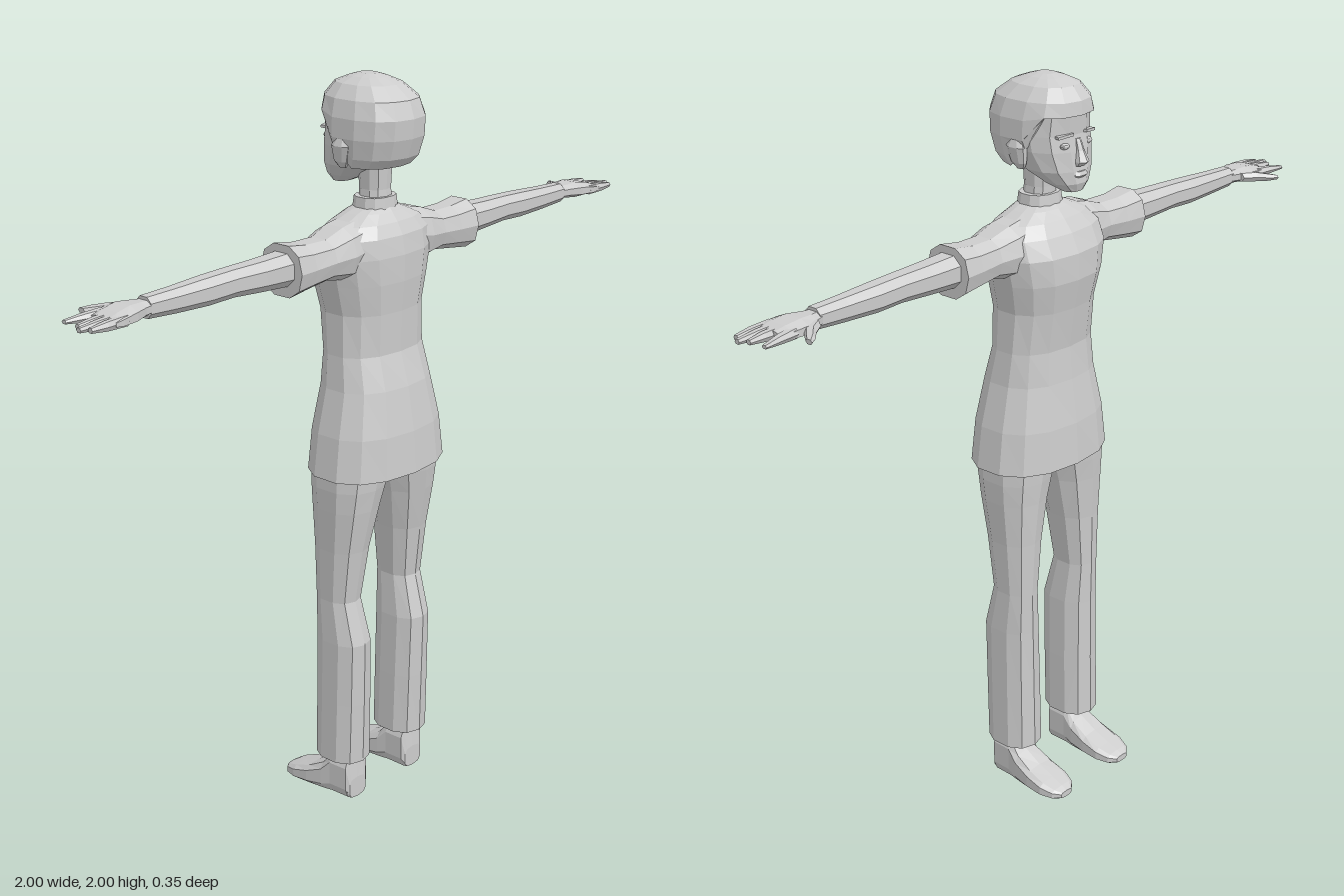
import * as THREE from 'three';

const grey = new THREE.MeshStandardMaterial({ color: 0xcccccc, flatShading: true });
grey.name = 'plain grey';

// Rounded cross-section across an axis. Limits: x/z for axis y, y/z for axis x, x/y for axis z.
function ring(axis, t, u0, u1, v0, v1, n = 12, power = 0.85) {
  const soft = (c) => Math.sign(c) * Math.pow(Math.abs(c), power);
  return Array.from({ length: n }, (_, i) => {
    const a = ((i + 0.5) / n) * Math.PI * 2;
    const k = 1 / Math.pow(Math.cos(Math.PI / n), power); // keeps the facets out at the limits
    const u = (u0 + u1) / 2 + ((u1 - u0) / 2) * soft(Math.cos(a)) * k;
    const v = (v0 + v1) / 2 + ((v1 - v0) / 2) * soft(Math.sin(a)) * k;
    return axis === 'y' ? [u, t, v] : axis === 'x' ? [t, u, v] : [u, v, t];
  });
}

// Closed skin over a list of rings, turned outwards whatever the ring direction.
function loft(name, rings, side = 1) {
  const n = rings[0].length, pos = [], index = [];
  rings.forEach((r) => r.forEach(([x, y, z]) => pos.push(x * side, y, z)));
  const cap = (r) => {
    for (let c = 0; c < 3; c++) pos.push((c ? 1 : side) * r.reduce((s, p) => s + p[c], 0) / n);
    return pos.length / 3 - 1;
  };
  const first = cap(rings[0]), last = cap(rings[rings.length - 1]);
  const top = (rings.length - 1) * n;
  for (let j = 0; j < n; j++) {
    const k = (j + 1) % n;
    for (let i = 0; i < top; i += n) index.push(i + j, i + n + j, i + n + k, i + j, i + n + k, i + k);
    index.push(first, j, k, last, top + k, top + j);
  }
  const P = (i) => new THREE.Vector3().fromArray(pos, i * 3).sub(new THREE.Vector3().fromArray(pos, first * 3));
  let volume = 0;
  for (let i = 0; i < index.length; i += 3) volume += P(index[i]).dot(P(index[i + 1]).cross(P(index[i + 2])));
  if (volume < 0) index.reverse();
  const g = new THREE.BufferGeometry();
  g.setAttribute('position', new THREE.Float32BufferAttribute(pos, 3));
  g.setIndex(index);
  const flat = g.toNonIndexed();
  flat.computeVertexNormals();
  const mesh = new THREE.Mesh(flat, grey);
  mesh.name = name;
  return mesh;
}

const stack = (name, axis, rows, side, n, power) =>
  loft(name, rows.map((r) => ring(axis, ...r, n, power)), side);

function createHead() {
  const head = new THREE.Group();
  head.name = 'head';
  head.add(stack('neck', 'y', [
    [1.64, -0.045, 0.045, -0.005, 0.075], [1.71, -0.037, 0.037, -0.005, 0.07], [1.8, -0.04, 0.04, -0.01, 0.075],
  ], 1, 10));
  head.add(stack('face', 'y', [
    [1.715, -0.028, 0.028, -0.1, -0.055], [1.737, -0.055, 0.055, -0.108, 0.0],
    [1.77, -0.083, 0.083, -0.105, 0.06], [1.82, -0.098, 0.098, -0.1, 0.11],
    [1.86, -0.1, 0.1, -0.094, 0.12], [1.92, -0.093, 0.093, -0.098, 0.12], [1.96, -0.07, 0.07, -0.07, 0.1],
  ], 1, 12));

  // Short hair: the low rings are lifted to the hairline around the face
  const hairline = (z) => (z < -0.045 ? 1.91 : z < -0.01 ? 1.83 : 1.77);
  head.add(loft('hair', [
    [1.775, -0.1, 0.1, -0.09, 0.115], [1.8, -0.108, 0.108, -0.1, 0.14], [1.85, -0.115, 0.115, -0.105, 0.156],
    [1.9, -0.113, 0.113, -0.107, 0.16], [1.945, -0.1, 0.1, -0.103, 0.145],
    [1.978, -0.072, 0.072, -0.077, 0.1], [1.993, -0.042, 0.042, -0.04, 0.06], [2.0, -0.02, 0.02, -0.015, 0.035],
  ].map((r) => ring('y', ...r, 14).map(([x, y, z]) => [x, Math.max(y, hairline(z)), z]))));

  // Nose and lips
  head.add(stack('nose', 'y', [
    [1.782, -0.017, 0.017, -0.112, -0.085], [1.793, -0.018, 0.018, -0.125, -0.085],
    [1.82, -0.011, 0.011, -0.112, -0.085], [1.85, -0.009, 0.009, -0.1, -0.085],
  ], 1, 6));
  head.add(stack('lips', 'y', [
    [1.752, -0.018, 0.018, -0.108, -0.09], [1.758, -0.024, 0.024, -0.114, -0.09], [1.768, -0.018, 0.018, -0.11, -0.09],
  ], 1, 8));

  for (const s of [-1, 1]) {
    const eye = new THREE.Mesh(new THREE.SphereGeometry(0.017, 8, 6), grey);
    eye.name = 'eye';
    eye.scale.set(1, 0.5, 0.6);
    eye.position.set(s * 0.042, 1.836, -0.089);
    const brow = new THREE.Mesh(new THREE.BoxGeometry(0.046, 0.007, 0.015), grey);
    brow.name = 'eyebrow';
    brow.position.set(s * 0.045, 1.862, -0.09);
    brow.rotation.set(0, s * -0.25, s * -0.1);
    head.add(eye, brow);
    head.add(stack('ear', 'y', [
      [1.773, 0.09, 0.102, 0.0, 0.02], [1.79, 0.09, 0.114, -0.01, 0.032],
      [1.83, 0.09, 0.122, -0.014, 0.044], [1.85, 0.09, 0.114, -0.002, 0.034],
    ], s, 8));
  }
  return head;
}

function createArm(s) {
  const arm = new THREE.Group();
  arm.name = s > 0 ? 'leftArm' : 'rightArm';
  const add = (name, rows, n) => arm.add(stack(name, 'x', rows, s, n));
  add('sleeve', [
    [0.07, 1.51, 1.65, -0.04, 0.1], [0.15, 1.5, 1.636, -0.045, 0.105], [0.21, 1.51, 1.615, -0.03, 0.095],
    [0.28, 1.5, 1.615, -0.032, 0.092], [0.342, 1.492, 1.624, -0.038, 0.098],
  ], 10);
  add('forearm', [
    [0.32, 1.52, 1.605, -0.015, 0.075], [0.43, 1.525, 1.6, -0.012, 0.07], [0.52, 1.53, 1.598, -0.01, 0.064],
    [0.6, 1.527, 1.595, -0.01, 0.062], [0.7, 1.53, 1.59, -0.003, 0.056], [0.79, 1.535, 1.587, 0.0, 0.052],
  ], 8);
  // Palm with separate fingers and a forward-pointing thumb
  add('palm', [
    [0.77, 1.543, 1.578, 0.005, 0.047], [0.81, 1.543, 1.58, -0.012, 0.058],
    [0.85, 1.54, 1.583, -0.028, 0.075], [0.895, 1.542, 1.576, -0.024, 0.082], [0.92, 1.547, 1.568, -0.015, 0.08],
  ], 8);
  add('thumb', [
    [0.81, 1.548, 1.572, -0.022, 0.012], [0.845, 1.546, 1.572, -0.045, -0.008],
    [0.87, 1.547, 1.567, -0.07, -0.035], [0.892, 1.55, 1.562, -0.084, -0.064],
  ], 6);
  add('indexFinger', [
    [0.88, 1.547, 1.572, -0.026, 0.005], [0.93, 1.549, 1.569, -0.03, -0.006], [0.982, 1.553, 1.562, -0.034, -0.02],
  ], 6);
  for (let i = 0; i < 3; i++) {
    const z = 0.012 + i * 0.022, tip = [0.985, 1.0, 0.985][i];
    add('finger', [
      [0.88, 1.546, 1.572, z, z + 0.023], [0.94, 1.547, 1.569, z + 0.001, z + 0.023], [tip, 1.551, 1.563, z + 0.004, z + 0.018],
    ], 6);
  }
  return arm;
}

function createLeg(s) {
  const leg = new THREE.Group();
  leg.name = s > 0 ? 'leftLeg' : 'rightLeg';
  leg.add(stack('trouserLeg', 'y', [
    [0.12, 0.06, 0.18, -0.05, 0.095], [0.3, 0.062, 0.178, -0.047, 0.1], [0.48, 0.066, 0.176, -0.045, 0.104],
    [0.6, 0.075, 0.172, -0.046, 0.072], [0.75, 0.058, 0.178, -0.05, 0.092],
    [0.87, 0.035, 0.186, -0.057, 0.115], [0.93, 0.018, 0.189, -0.062, 0.125], [1.0, 0.0, 0.188, -0.066, 0.132],
  ], s, 10));
  leg.add(stack('foot', 'z', [
    [0.076, 0.085, 0.15, 0.0, 0.06], [0.068, 0.075, 0.16, 0.0, 0.13], [0.01, 0.074, 0.163, 0.0, 0.13],
    [-0.02, 0.07, 0.168, 0.0, 0.09], [-0.07, 0.066, 0.174, 0.0, 0.062],
    [-0.12, 0.066, 0.175, 0.0, 0.043], [-0.155, 0.078, 0.163, 0.0, 0.03], [-0.172, 0.1, 0.142, 0.002, 0.02],
  ], s, 10, 0.6));
  return leg;
}

export function createModel() {
  const model = new THREE.Group();
  model.name = 'figure';
  // Long loose shirt
  model.add(stack('shirt', 'y', [
    [0.965, -0.2, 0.2, -0.1, 0.175], [1.08, -0.185, 0.185, -0.094, 0.168], [1.2, -0.157, 0.157, -0.077, 0.148],
    [1.29, -0.146, 0.146, -0.07, 0.122], [1.4, -0.142, 0.142, -0.085, 0.125], [1.48, -0.16, 0.16, -0.1, 0.132],
    [1.55, -0.175, 0.175, -0.098, 0.133], [1.6, -0.172, 0.172, -0.075, 0.125], [1.632, -0.14, 0.14, -0.05, 0.108],
    [1.655, -0.085, 0.085, -0.03, 0.09], [1.668, -0.05, 0.05, -0.012, 0.08],
  ], 1, 14));
  model.add(stack('collar', 'y', [
    [1.645, -0.06, 0.06, -0.02, 0.085], [1.692, -0.054, 0.054, -0.014, 0.08],
  ], 1, 12));
  // Seat of the trousers under the hem
  model.add(stack('trouserSeat', 'y', [
    [0.925, -0.03, 0.03, -0.03, 0.09], [0.945, -0.1, 0.1, -0.055, 0.12], [1.0, -0.18, 0.18, -0.065, 0.13],
  ], 1, 12));
  model.add(createHead());
  for (const s of [-1, 1]) model.add(createArm(s), createLeg(s));
  return model;
}
